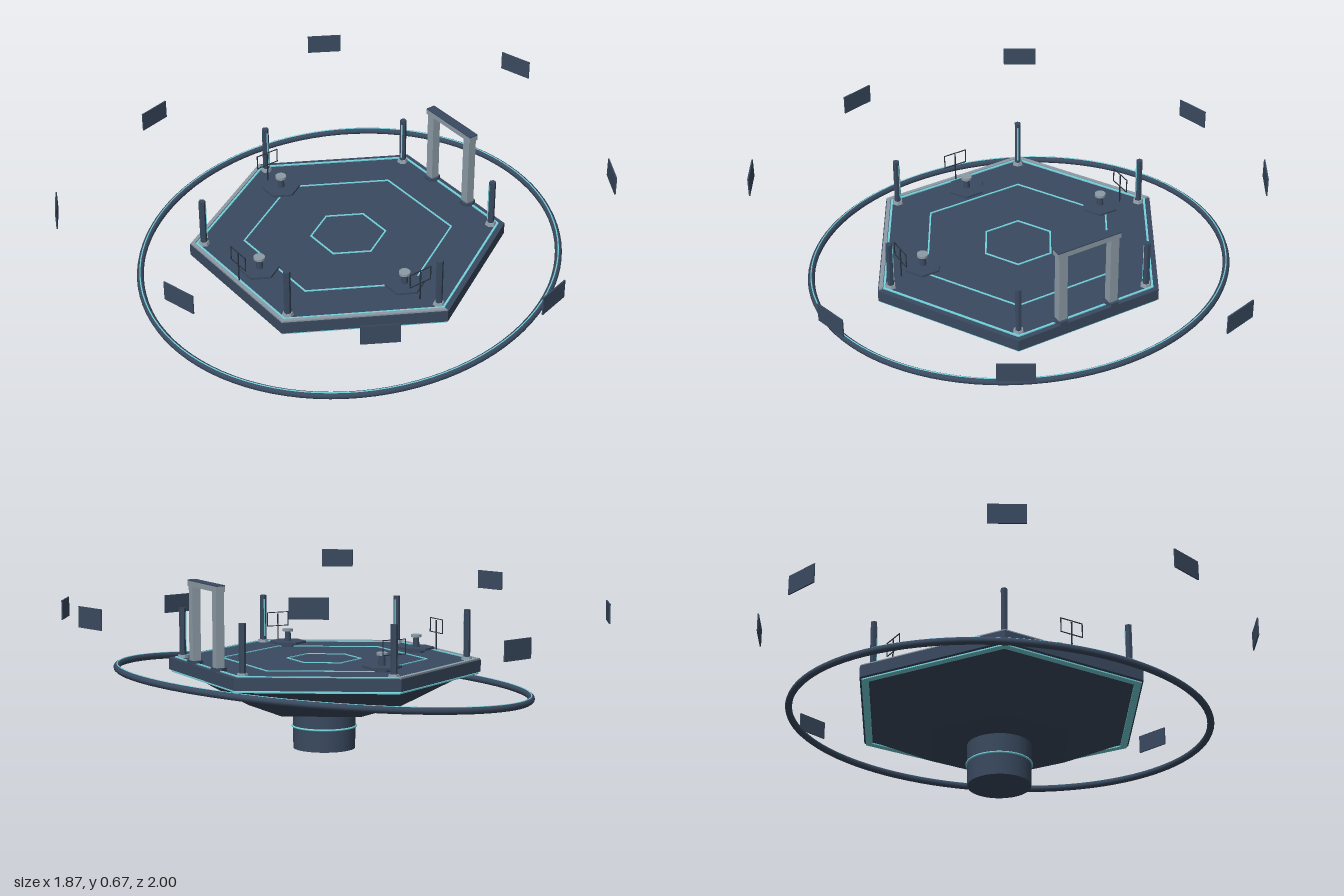
import * as THREE from 'three';

const mat = (name, color, double) => {
  const m = new THREE.MeshStandardMaterial({ color });
  m.name = name;
  if (double) m.side = THREE.DoubleSide;
  return m;
};

export function createModel() {
  const hull = mat('navy hull', 0x3a4a60);
  const glow = mat('cyan light', 0x74d4de);
  const steel = mat('pale steel', 0x8d9ba6);
  const dark = mat('dark metal', 0x28323f);

  const model = new THREE.Group();
  model.name = 'floatingPlatform';
  const station = new THREE.Group();
  station.name = 'station';
  station.position.set(0.035, 0, 0.042);
  model.add(station);

  const add = (name, geo, material, x = 0, y = 0, z = 0, parent = station) => {
    const m = new THREE.Mesh(geo, material);
    m.name = name;
    m.position.set(x, y, z);
    parent.add(m);
    return m;
  };
  // faceted six-sided prism with corners on the x axis
  const hex = (rTop, rBottom, h) => {
    const g = new THREE.CylinderGeometry(rTop, rBottom, h, 6, 1, false, Math.PI / 2).toNonIndexed();
    g.computeVertexNormals();
    return g;
  };
  const hexPoints = (r, from = 0, count = 6) => Array.from({ length: count }, (_, i) => {
    const a = (from + i) * Math.PI / 3;
    return new THREE.Vector2(Math.cos(a) * r, Math.sin(a) * r);
  });
  const lay = (shape, depth) =>
    new THREE.ExtrudeGeometry(shape, { depth, bevelEnabled: false }).rotateX(-Math.PI / 2);
  // flat hexagonal outline
  const hexLine = (r, w, depth) => {
    const s = new THREE.Shape(hexPoints(r));
    s.holes.push(new THREE.Path(hexPoints(r - w).reverse()));
    return lay(s, depth);
  };

  // hull: stem, keel and deck
  add('stem', new THREE.CylinderGeometry(0.12, 0.118, 0.17, 32), hull, 0, 0.085);
  add('stemLight', new THREE.TorusGeometry(0.121, 0.004, 8, 48).rotateX(Math.PI / 2), glow, 0, 0.085);
  add('keel', hex(0.545, 0.29, 0.13), hull, 0, 0.225);
  add('deck', hex(0.59, 0.59, 0.045), hull, 0, 0.3175);
  add('underDeckLight', hexLine(0.582, 0.03, 0.005), glow, 0, 0.286);

  // deck markings
  add('edgeLight', hexLine(0.568, 0.009, 0.004), glow, 0, 0.34);
  add('middleLight', hexLine(0.391, 0.007, 0.003), glow, 0, 0.34);
  add('innerLight', hexLine(0.143, 0.007, 0.003), glow, 0, 0.34);
  const curb = new THREE.Shape([...hexPoints(0.586, 3, 4), ...hexPoints(0.57, 3, 4).reverse()]);
  add('frontCurb', lay(curb, 0.006), steel, 0, 0.34);

  // tilted orbit ring with an inlaid light
  const ring = new THREE.Group();
  ring.name = 'orbitRing';
  ring.position.y = 0.257;
  ring.rotation.x = 0.087;
  station.add(ring);
  add('ringTube', new THREE.TorusGeometry(0.783, 0.013, 10, 96).rotateX(Math.PI / 2), hull, 0, 0, 0, ring);
  add('ringLight', new THREE.TorusGeometry(0.783, 0.003, 6, 96).rotateX(Math.PI / 2), glow, 0, 0.0115, 0, ring);

  // corner posts
  for (const p of hexPoints(0.537)) {
    const post = new THREE.Group();
    post.name = 'cornerPost';
    post.position.set(p.x, 0.34, p.y);
    post.rotation.y = -Math.atan2(p.y, p.x);
    station.add(post);
    add('postCollar', hex(0.018, 0.022, 0.012), steel, 0, 0.006, 0, post);
    add('postShaft', hex(0.013, 0.013, 0.19), hull, 0, 0.095, 0, post);
    add('postLight', new THREE.BoxGeometry(0.004, 0.15, 0.005), glow, -0.0125, 0.1, 0, post);
  }

  // gateway at the back
  const gate = new THREE.Group();
  gate.name = 'gateway';
  gate.position.set(0, 0.34, -0.485);
  station.add(gate);
  for (const s of [-1, 1]) {
    add('gateLeg', new THREE.BoxGeometry(0.034, 0.29, 0.032), steel, s * 0.106, 0.145, 0, gate);
    add('gateFoot', hex(0.03, 0.03, 0.012), hull, s * 0.106, 0.006, 0, gate);
  }
  add('gateBeam', new THREE.BoxGeometry(0.258, 0.02, 0.036), steel, 0, 0.298, 0, gate);
  add('gateCap', new THREE.BoxGeometry(0.258, 0.004, 0.036), hull, 0, 0.31, 0, gate);

  // consoles, each with an open screen frame on its outer side
  for (const [x, z, turn] of [[-0.385, 0.036, -Math.PI / 2], [0.385, 0.036, Math.PI / 2], [0, 0.4, 0]]) {
    const desk = new THREE.Group();
    desk.name = 'console';
    desk.position.set(x, 0.34, z);
    station.add(desk);
    add('consolePlate', hex(0.072, 0.072, 0.008), hull, 0, 0.017, 0, desk);
    add('consoleBase', hex(0.035, 0.035, 0.014), hull, 0, 0.007, 0, desk);
    add('consoleStem', new THREE.CylinderGeometry(0.011, 0.013, 0.04, 12), hull, 0, 0.04, 0, desk);
    add('consoleTop', new THREE.CylinderGeometry(0.021, 0.021, 0.01, 16), steel, 0, 0.064, 0, desk);
    const screen = new THREE.Group();
    screen.name = 'screen';
    screen.rotation.y = turn;
    desk.add(screen);
    for (const s of [-1, 1]) {
      add('screenSide', new THREE.BoxGeometry(0.003, 0.055, 0.003), dark, s * 0.046, 0.098, 0.09, screen);
      add('screenRail', new THREE.BoxGeometry(0.095, 0.003, 0.003), dark, 0, 0.098 + s * 0.027, 0.09, screen);
    }
    add('screenPole', new THREE.BoxGeometry(0.004, 0.12, 0.004), dark, 0, 0.06, 0.09, screen);
  }

  // floating panels: distance from the centre and height, in 45 degree steps
  const panels = [[0.908, 0.475], [0.98, 0.635], [0.905, 0.578], [1.062, 0.525],
    [0.984, 0.475], [0.91, 0.635], [1.067, 0.578], [0.985, 0.525]];
  panels.forEach(([r, y], i) => {
    const a = -0.253 + i * Math.PI / 4;
    const p = add('floatingPanel', new THREE.BoxGeometry(0.132, 0.073, 0.005), hull,
      Math.cos(a) * r, y, Math.sin(a) * r);
    p.rotation.y = Math.PI / 2 - a;
  });
  return model;
}
